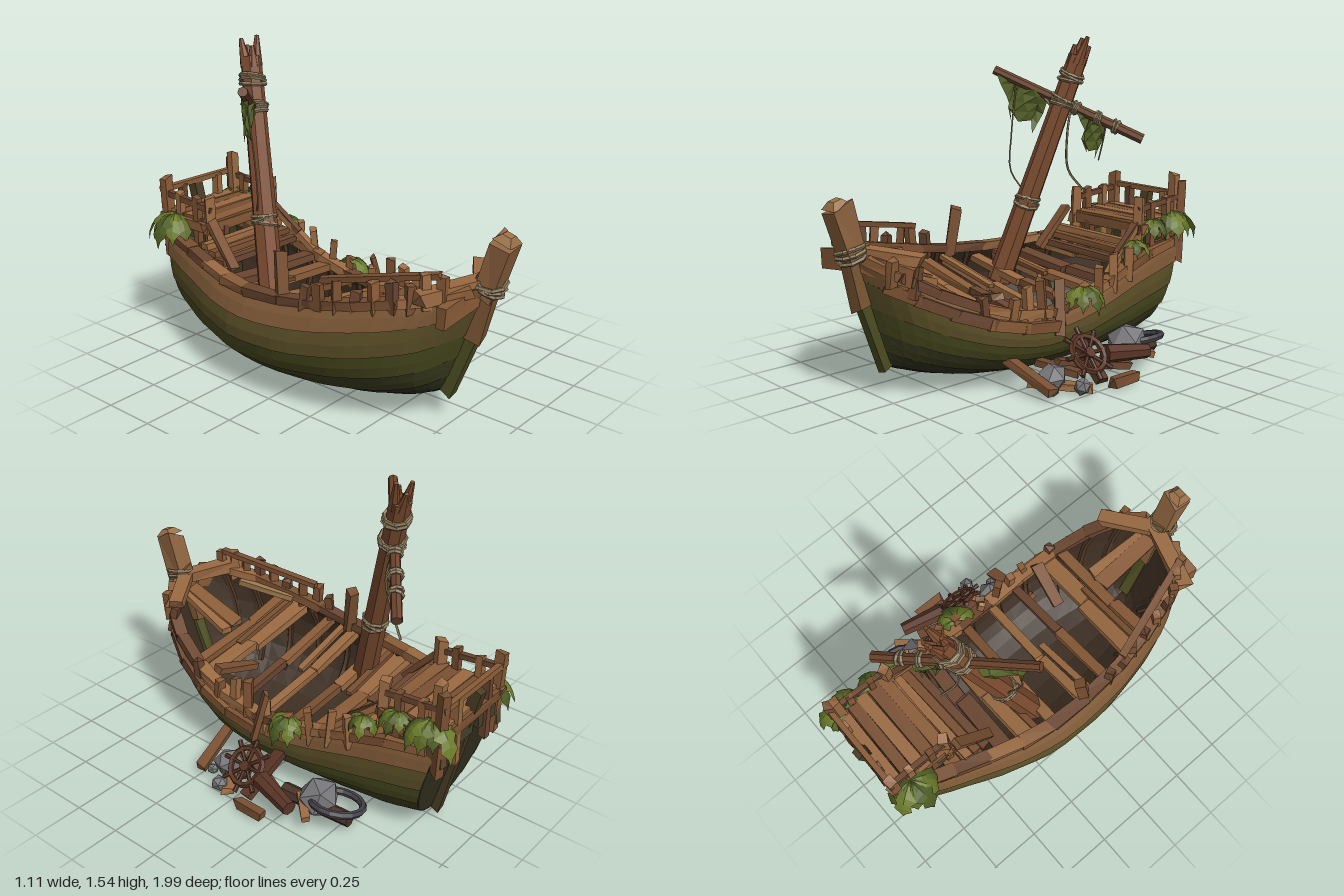
import * as THREE from 'three';

const V = (x, y, z) => new THREE.Vector3(x, y, z);
let seed = 7;
const rnd = () => (seed = (seed * 16807) % 2147483647) / 2147483647;
const jit = (a) => (rnd() - 0.5) * 2 * a;
const WOODS = [0x8a5c38, 0x7a5032, 0x9a6a42, 0x6b4630];
const LEAVES = [0x5c6b24, 0x6a7a2a, 0x4a5a20];
const ROPE = 0x8c7a5c, ROCK = 0x77767a, RUST = 0x5a3526;

// Hull stations, bow to stern: zKeel, zRim, keelX, keelY, widthLow, widthHigh, rimYLow, rimYHigh
const ST = [
  [0.70, 0.89, -0.10, 0.13, 0.02, 0.02, 0.67, 0.67],
  [0.63, 0.80, -0.10, 0.10, 0.23, 0.19, 0.65, 0.60],
  [0.48, 0.62, -0.08, 0.06, 0.37, 0.28, 0.61, 0.49],
  [0.28, 0.36, -0.06, 0.03, 0.46, 0.33, 0.55, 0.38],
  [0.05, 0.08, -0.05, 0.01, 0.50, 0.33, 0.50, 0.32],
  [-0.20, -0.20, -0.05, 0.00, 0.485, 0.32, 0.48, 0.35],
  [-0.42, -0.42, -0.04, 0.005, 0.435, 0.30, 0.49, 0.42],
  [-0.62, -0.66, -0.03, 0.015, 0.36, 0.27, 0.51, 0.48],
  [-0.77, -0.90, -0.03, 0.04, 0.27, 0.24, 0.52, 0.51],
];
function station(t) {
  const f = Math.min(t, 0.9999) * (ST.length - 1), i = Math.floor(f), k = f - i;
  const at = (j) => ST[Math.max(0, Math.min(ST.length - 1, j))];
  return ST[0].map((_, c) => {
    const [a, b, d, e] = [at(i - 1)[c], at(i)[c], at(i + 1)[c], at(i + 2)[c]];
    return b + 0.5 * k * (d - a + k * (2 * a - 5 * b + 4 * d - e + k * (3 * (b - d) + e - a)));
  });
}
// Point on the hull: t bow to stern, u keel (0) to rim (1), side -1 or +1 in x
function hullPoint(t, u, side, swell = 0) {
  const [zk, zr, kx, ky, wl, wr, yl, yr] = station(t);
  const end = side < 0 ? 2.12 : 1.95, a = u * end, h = (1 - Math.cos(a)) / (1 - Math.cos(end));
  const w = Math.max(0.005, (side < 0 ? wl : wr) + swell);
  return V(kx + side * w * Math.pow(Math.sin(a), 0.9), ky - swell * 0.3 * (1 - u) + ((side < 0 ? yl : yr) - ky) * h, zk + (zr - zk) * h);
}

export function createModel() {
  const root = new THREE.Group();
  let group = root;
  const mat = (color) => new THREE.MeshStandardMaterial({ color, flatShading: true, roughness: 0.9, side: THREE.DoubleSide });
  const add = (name, geo, color) => {
    const m = new THREE.Mesh(geo, mat(color));
    m.name = name;
    group.add(m);
    return m;
  };
  const section = (name) => { group = new THREE.Group(); group.name = name; root.add(group); };
  const wood = () => WOODS[Math.floor(rnd() * WOODS.length)];

  // Hand-hewn beam from a to b
  function beam(name, a, b, w, h, color = wood()) {
    const geo = new THREE.BoxGeometry(w, h, a.distanceTo(b)), p = geo.attributes.position;
    const j = Array.from({ length: 8 }, () => [1 + jit(0.14), 1 + jit(0.14), jit(Math.min(w, h) * 0.3)]);
    for (let i = 0; i < p.count; i++) {
      const [x, y, z] = [p.getX(i), p.getY(i), p.getZ(i)];
      const c = j[(x > 0) + 2 * (y > 0) + 4 * (z > 0)];
      p.setXYZ(i, x * c[0], y * c[1], z + c[2]);
    }
    const m = add(name, geo, color);
    m.position.copy(a).lerp(b, 0.5);
    m.lookAt(b);
    return m;
  }
  // Grid surface from a function of (i, j) in 0..1
  function sheet(name, ni, nj, f, color) {
    const pos = [], idx = [];
    for (let i = 0; i <= ni; i++) for (let j = 0; j <= nj; j++) pos.push(...f(i / ni, j / nj).toArray());
    for (let i = 0; i < ni; i++) for (let j = 0; j < nj; j++) {
      const a = i * (nj + 1) + j, b = a + nj + 1;
      idx.push(a, b, a + 1, b, b + 1, a + 1);
    }
    const g = new THREE.BufferGeometry();
    g.setAttribute('position', new THREE.Float32BufferAttribute(pos, 3));
    g.setIndex(idx);
    g.computeVertexNormals();
    return add(name, g, color);
  }
  function rope(name, pts, r = 0.006, color = ROPE) {
    return add(name, new THREE.TubeGeometry(new THREE.CatmullRomCurve3(pts), 14, r, 5), color);
  }
  // Coils of rope around a spar
  function wrap(at, dir, r, n = 3) {
    for (let i = 0; i < n; i++) {
      const m = add('ropeWrap', new THREE.TorusGeometry(r, 0.01, 5, 8), ROPE);
      m.position.copy(at).addScaledVector(dir, (i - (n - 1) / 2) * 0.017);
      m.lookAt(m.position.clone().add(dir).add(V(jit(0.2), jit(0.2), jit(0.2))));
    }
  }

  // Lapped hull strakes with a dark lining
  section('hull');
  const tones = [0x24251a, 0x2e301c, 0x3c3e1f, 0x4b4c20, 0x5c5028, 0x7d5836];
  for (const s of [-1, 1]) {
    tones.forEach((c, k) => {
      sheet('strake', 22, 2, (t, v) => hullPoint(t, (k + v) / 6, s, 0.008 * (1 - v) + 0.002 * Math.sin(t * 40 + k * 2)), c);
    });
    sheet('lining', 20, 8, (t, u) => hullPoint(t, u, s, -0.025), 0x3b2c20);
    // Inner ribs
    for (let t = 0.14; t < 0.9; t += 0.085)
      rope('rib', [0.35, 0.55, 0.75, 0.98].map((u) => hullPoint(t, u, s, -0.03)), 0.016, 0x4a3424);
    // Gunwale
    for (let i = 0; i < 10; i++) {
      const a = 0.06 + i * 0.09;
      beam('gunwale', hullPoint(a, 1, s, -0.01), hullPoint(a + 0.095, 1, s, -0.01), 0.06, 0.04);
    }
  }
  // Sprung planks on the battered side
  for (let i = 0; i < 5; i++) {
    const a = 0.08 + i * 0.085;
    beam('sidePlank', hullPoint(a, 0.86, 1, 0.012), hullPoint(a + 0.1, 0.87, 1, 0.014), 0.025, 0.05);
  }
  sheet('transom', 8, 2, (u, v) => hullPoint(1, u, -1).lerp(hullPoint(1, u, 1), v), 0x34321f);

  // Stem, keel and sternpost
  section('backbone');
  beam('stemLower', V(-0.11, 0.12, 0.70), V(-0.10, 0.45, 0.825), 0.05, 0.075, 0x4e4f22);
  beam('stemMiddle', V(-0.10, 0.42, 0.815), V(-0.09, 0.69, 0.885), 0.065, 0.1, 0x7d5836);
  beam('stemHead', V(-0.09, 0.62, 0.87), V(-0.085, 0.87, 0.95), 0.095, 0.095, 0x8f6540);
  const cap = add('stemCap', new THREE.CylinderGeometry(0.03, 0.066, 0.03, 4), 0x9a7048);
  cap.position.set(-0.085, 0.885, 0.955);
  cap.rotation.set(0.3, Math.PI / 4, 0);
  wrap(V(-0.09, 0.665, 0.885), V(0, 0.95, 0.3), 0.066, 3);
  beam('sternpost', V(-0.03, 0.03, -0.78), V(-0.04, 0.72, -0.94), 0.05, 0.05, 0x4a3c24);
  beam('bowWing', V(-0.40, 0.66, 0.74), V(-0.09, 0.665, 0.84), 0.07, 0.06);
  beam('bowWing', V(0.14, 0.64, 0.69), V(-0.08, 0.665, 0.84), 0.07, 0.05);
  beam('bowBrace', V(-0.36, 0.59, 0.83), V(-0.13, 0.62, 0.84), 0.05, 0.09);
  beam('bowBrace', V(0.14, 0.58, 0.74), V(-0.06, 0.62, 0.84), 0.04, 0.08);
  beam('bowPlank', V(-0.09, 0.50, 0.5), V(-0.09, 0.60, 0.82), 0.08, 0.03);
  beam('bowPlank', V(-0.02, 0.49, 0.5), V(-0.05, 0.59, 0.8), 0.06, 0.03);

  // Broken cross beams and loose deck boards
  section('deckBeams');
  [[0.31, 0.06], [0.36, 0.1], [0.44, 0.05], [0.51, 0.05], [0.59, 0.055], [0.66, 0.08], [0.73, 0.085], [0.82, 0.06], [0.86, 0.07]].forEach(([t, w], i) => {
    const a = hullPoint(t, 0.9, -1, -0.03), b = hullPoint(t + jit(0.01), 0.96, 1, -0.02);
    const m = a.clone().lerp(b, 0.45 + jit(0.12));
    m.y -= 0.015;
    beam('deckBeam', a, m, w, 0.035);
    beam('deckBeam', m.clone().add(V(0, 0.006, jit(0.015))), b, w * 0.85, 0.035);
    if (i % 2) beam('looseBoard', a.clone().add(V(0.03, 0.03, 0.05)), m.clone().add(V(0.05, 0.02, 0.04)), 0.03, 0.02);
  });
  beam('fallenBoard', V(-0.42, 0.55, 0.4), V(-0.33, 0.59, 0.68), 0.05, 0.03, 0xa07a50);
  beam('fallenBoard', V(0.0, 0.38, 0.3), V(0.22, 0.44, 0.34), 0.06, 0.03);

  // Railing posts, tall on the surviving side
  section('railing');
  for (let i = 0; i < 9; i++) {
    const p = hullPoint(0.13 + i * 0.04, 1, -1), h = [0.09, 0.12, 0.08, 0.1, 0.1, 0.06, 0.1, 0.1, 0.09][i];
    beam('railPost', p.clone().add(V(0, -0.05, 0)), p.clone().add(V(jit(0.015), h, jit(0.015))), 0.04, 0.036);
  }
  beam('handrail', hullPoint(0.14, 1, -1).add(V(0.01, 0.1, 0)), hullPoint(0.41, 1, -1).add(V(0.01, 0.11, 0)), 0.035, 0.025);
  beam('tallPost', V(-0.46, 0.46, 0.06), V(-0.44, 0.70, 0.03), 0.05, 0.05);
  for (const [t, h] of [[0.12, 0.05], [0.18, 0.06], [0.34, 0.05], [0.40, 0.06], [0.45, 0.13], [0.49, 0.16], [0.54, 0.1], [0.6, 0.08], [0.66, 0.12], [0.72, 0.12], [0.78, 0.1]]) {
    const p = hullPoint(t, 1, 1);
    beam('brokenPost', p.clone().add(V(0.005, -0.07, 0)), p.clone().add(V(jit(0.02), h, jit(0.03))), 0.04, 0.035);
  }

  // Raised stern cabin with open windows and a railed deck
  section('sternCabin');
  const X = [-0.25, 0.19], Z = [-0.92, -0.62];
  for (let i = 0; i < 5; i++) {
    const z = -0.89 + i * 0.064;
    beam('cabinDeckBoard', V(X[0], 0.63 + jit(0.006), z), V(X[1], 0.625, z + jit(0.008)), 0.06, 0.025);
  }
  for (const x of X) {
    for (const z of Z) beam('cornerPost', V(x, 0.40, z * 0.98), V(x + jit(0.01), z < -0.8 ? 0.81 : 0.76, z), 0.045, 0.045);
    for (const z of [-0.82, -0.70]) beam('sidePost', V(x, 0.45, z), V(x, 0.74 + jit(0.02), z), 0.033, 0.033);
    beam('sideRail', V(x, 0.73, -0.93), V(x, 0.70, -0.6), 0.027, 0.027);
    beam('sideSill', V(x, 0.49, -0.93), V(x, 0.46, -0.58), 0.03, 0.09, 0x5b4529);
    beam('sideHead', V(x, 0.605, -0.94), V(x, 0.60, -0.59), 0.04, 0.045);
    beam('sidePanel', V(x, 0.55, -0.92), V(x, 0.55, -0.82), 0.02, 0.09, 0x5b4529);
  }
  for (const z of Z) {
    beam('cabinHead', V(X[0] - 0.03, 0.605, z), V(X[1] + 0.03, 0.6, z), 0.04, 0.05);
    for (const x of [-0.15, 0.09]) beam('endPost', V(x, 0.42, z), V(x + jit(0.01), z < -0.8 ? 0.74 : 0.62, z), 0.04, 0.035);
  }
  beam('sternRail', V(-0.28, 0.745, -0.925), V(0.21, 0.74, -0.925), 0.028, 0.028);
  for (const [a, b] of [[-0.26, -0.09], [-0.05, 0.07], [0.14, 0.2]])
    beam('sternPanel', V(a, 0.545, -0.91), V(b, 0.545, -0.91), 0.025, 0.11, 0x46402a);
  beam('cabinSill', V(-0.28, 0.46, -0.62), V(0.2, 0.45, -0.62), 0.03, 0.08);
  beam('tallSternPost', V(0.18, 0.55, -0.88), V(0.18, 0.85, -0.89), 0.042, 0.042);
  for (let i = 0; i < 3; i++) beam('step', V(-0.34, 0.49 + i * 0.03, -0.46 - i * 0.05), V(0.2, 0.46 + i * 0.035, -0.48 - i * 0.05), 0.045, 0.03);
  beam('leaningBoard', V(0.22, 0.42, -0.36), V(0.18, 0.62, -0.6), 0.04, 0.03);
  beam('leaningBoard', V(0.2, 0.5, -0.44), V(0.18, 0.64, -0.62), 0.03, 0.03);
  beam('leaningBoard', V(-0.3, 0.46, -0.4), V(-0.28, 0.66, -0.58), 0.05, 0.03);

  // Leaning mast with a splintered head, and the crooked yard
  section('mast');
  const m0 = V(-0.315, 0.33, -0.14), m1 = V(-0.09, 1.44, -0.465), md = m1.clone().sub(m0).normalize();
  const along = (a, b, k) => a.clone().lerp(b, k);
  function spar(name, a, b, ra, rb, color) {
    const m = add(name, new THREE.CylinderGeometry(rb, ra, a.distanceTo(b), 7, 3), color);
    m.position.copy(a).lerp(b, 0.5);
    m.quaternion.setFromUnitVectors(V(0, 1, 0), b.clone().sub(a).normalize());
    return m;
  }
  spar('mastPole', m0, m1, 0.062, 0.05, 0x7c4c30);
  for (let i = 0; i < 4; i++) {
    const a = i * 1.57 + 0.5, p = m1.clone().add(V(Math.cos(a) * 0.024, 0, Math.sin(a) * 0.024));
    const tip = p.clone().addScaledVector(md, [0.1, 0.06, 0.09, 0.05][i]).add(V(Math.cos(a) * 0.015, 0, Math.sin(a) * 0.015));
    spar('splinter', p.addScaledVector(md, -0.04), tip, 0.03, 0.01, 0x7c4c30);
  }
  const y0 = V(-0.41, 1.37, -0.20), y1 = V(0.17, 1.04, -0.65), yd = y1.clone().sub(y0).normalize();
  spar('yard', y0, y1, 0.023, 0.026, 0x6b432c);
  for (const k of [0.36, 0.8, 0.91]) wrap(along(m0, m1, k), md, 0.058, 3);
  for (const k of [0.45, 0.55, 0.7, 0.82]) wrap(along(y0, y1, k), yd, 0.029, 2);
  rope('lashing', [along(y0, y1, 0.3), along(m0, m1, 0.76), along(y0, y1, 0.62)], 0.009);
  rope('danglingRope', [along(y0, y1, 0.15), V(-0.32, 1.05, -0.23), V(-0.315, 0.88, -0.22), V(-0.27, 0.77, -0.27)], 0.004);
  rope('danglingRope', [along(y0, y1, 0.52), V(-0.1, 1.05, -0.4), V(-0.12, 0.88, -0.43), V(-0.09, 0.78, -0.5)], 0.006);
  rope('danglingRope', [along(y0, y1, 0.76), V(0.02, 1.03, -0.53), V(-0.01, 0.93, -0.53)], 0.004);
  // Mossy sail rags hanging from the yard
  for (const [k0, k1, len] of [[0.04, 0.34, 0.22], [0.58, 0.74, 0.2]])
    sheet('sailRag', 5, 4, (i, j) => along(y0, y1, k0 + (k1 - k0) * (0.5 + (i - 0.5) * (1 - 0.35 * j * j)))
      .add(V(0.02 * Math.sin(i * 9 + j * 3), -len * j * (0.8 + 0.2 * Math.cos(i * 13)), 0.025 * Math.cos(i * 8 + j * 4))), 0x57642a);

  // Drooping clusters of broad, jagged leaves
  section('foliage');
  function fern(p, facing, size, n = 5) {
    for (let i = 0; i < n; i++) {
      const a = facing + (i / (n - 1) - 0.5) * 2.8, L = size * (0.8 + rnd() * 0.35), d = V(Math.cos(a), 0, Math.sin(a)), s = V(-d.z, 0, d.x);
      sheet('leaf', 7, 2, (t, v) => {
        const tooth = Math.round(t * 7) % 2 ? 1 : 0.6, half = (v - 0.5) * L * 0.6 * Math.sin(0.2 + t * 2.94) * tooth;
        return p.clone().addScaledVector(d, L * 0.75 * Math.sin(t * 1.5)).addScaledVector(s, half)
          .add(V(0, L * (0.25 * t - 1.05 * t * t) - Math.abs(half) * 0.4, 0));
      }, LEAVES[i % 3]);
    }
  }
  fern(V(-0.27, 0.64, -0.84), Math.PI * 1.05, 0.19, 6);
  fern(V(0.18, 0.66, -0.86), -0.35, 0.17, 6);
  fern(V(0.2, 0.64, -0.7), 0, 0.12);
  fern(V(0.22, 0.56, -0.54), 0.1, 0.11, 4);
  fern(V(0.26, 0.41, -0.15), 0.1, 0.14);

  // Ship's wheel lying against the hull
  section('wheel');
  add('wheelRim', new THREE.TorusGeometry(0.088, 0.015, 5, 14), RUST);
  add('wheelHub', new THREE.CylinderGeometry(0.026, 0.026, 0.04, 8).rotateX(Math.PI / 2), RUST);
  for (let i = 0; i < 8; i++) {
    const a = i * Math.PI / 4, d = V(Math.cos(a), Math.sin(a), 0);
    spar('spoke', d.clone().multiplyScalar(0.015), d.clone().multiplyScalar(0.13), 0.009, 0.012, RUST);
  }
  group.position.set(0.42, 0.15, -0.02);
  group.lookAt(0.42 + 0.8, 0.15 + 0.65, 0);

  // Rocks, timber and iron scattered beside the ship
  section('debris');
  for (const [x, y, z, r] of [[0.36, 0.06, 0.15, 0.075], [0.49, 0.04, 0.09, 0.042], [0.33, 0.1, -0.38, 0.105], [0.42, 0.03, 0.2, 0.03]]) {
    const m = add('rock', new THREE.IcosahedronGeometry(r, 0), ROCK);
    m.position.set(x, y, z);
    m.rotation.set(rnd() * 3, rnd() * 3, rnd() * 3);
    m.scale.y = 0.9;
  }
  const ring = add('ironRing', new THREE.TorusGeometry(0.12, 0.018, 6, 16), 0x45424a);
  ring.position.set(0.31, 0.1, -0.47);
  ring.rotation.set(Math.PI / 2, 0.25, 0);
  spar('brokenSpar', V(0.43, 0.13, -0.12), V(0.49, 0.11, -0.34), 0.045, 0.035, RUST);
  spar('brokenSpar', V(0.36, 0.07, -0.2), V(0.33, 0.06, -0.56), 0.04, 0.035, 0x4a3328);
  beam('plank', V(0.18, 0.15, 0.28), V(0.46, 0.04, 0.24), 0.05, 0.035);
  beam('plank', V(0.26, 0.025, 0.2), V(0.5, 0.02, 0.03), 0.06, 0.03);
  beam('plank', V(0.53, 0.03, -0.21), V(0.53, 0.03, -0.06), 0.045, 0.045);
  beam('plank', V(0.24, 0.2, -0.1), V(0.47, 0.03, -0.06), 0.06, 0.03, RUST);
  beam('plank', V(0.3, 0.1, 0.06), V(0.43, 0.04, -0.28), 0.05, 0.03);
  beam('plank', V(0.36, 0.1, -0.3), V(0.47, 0.07, -0.42), 0.04, 0.03);
  beam('plank', V(0.22, 0.09, 0.1), V(0.4, 0.06, 0.02), 0.05, 0.03);
  beam('leaningPlank', V(0.30, 0.22, 0.04), V(0.25, 0.46, 0.0), 0.045, 0.025);
  return root;
}
